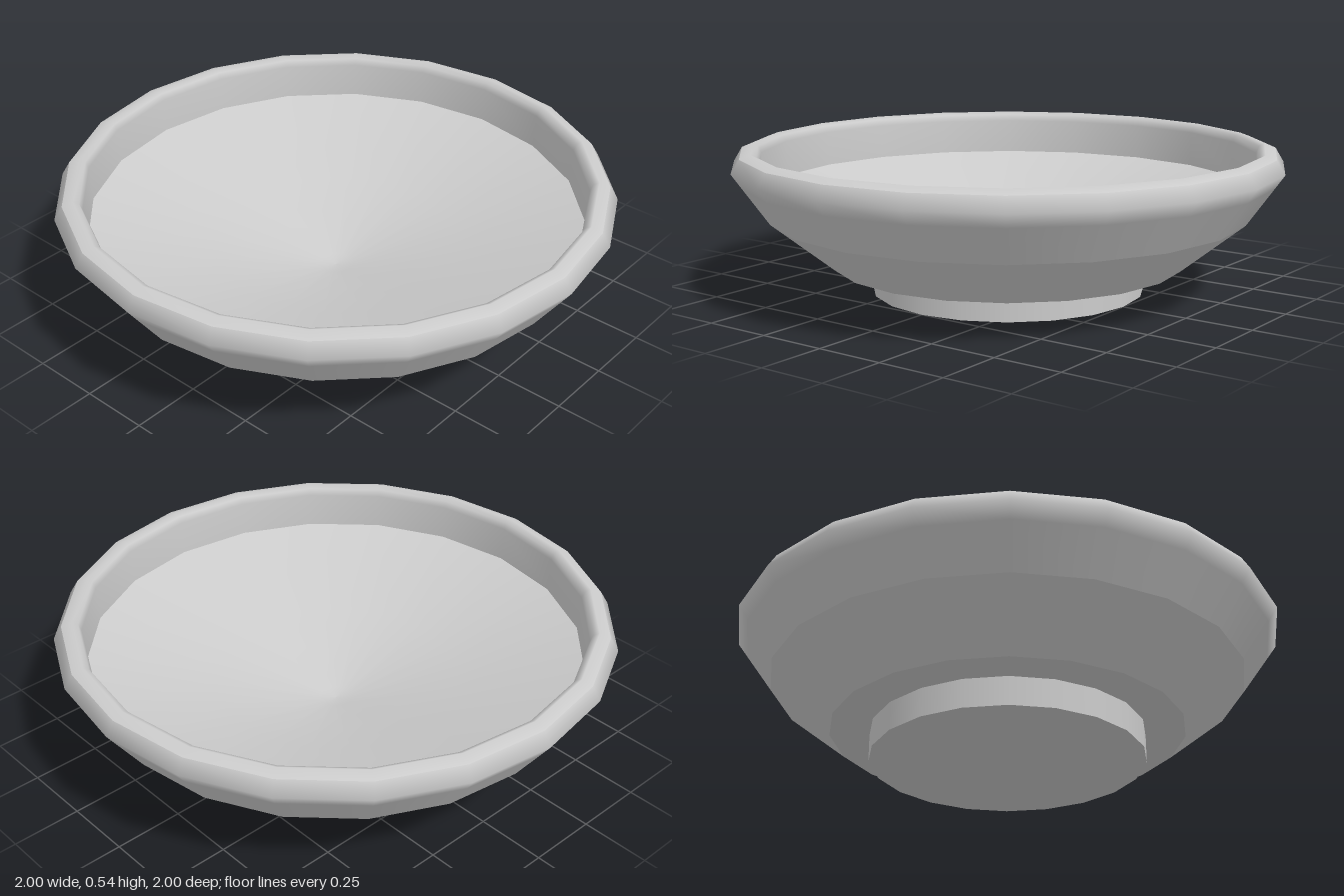
import * as THREE from 'three';

const SIDES = 20;
const material = new THREE.MeshStandardMaterial({ color: 0xcccccc });

// Smooth ring of revolution; profile points are [radius, y], running from
// the underside outward, up over the rim and back to the centre.
function turned(name, profile) {
  const points = profile.map(([r, y]) => new THREE.Vector2(r, y));
  const geometry = new THREE.LatheGeometry(points, SIDES);
  geometry.normalizeNormals();
  const mesh = new THREE.Mesh(geometry, material);
  mesh.name = name;
  return mesh;
}

export function createModel() {
  const bowl = new THREE.Group();
  bowl.name = 'bowl';
  // Each section is smooth in itself, with a sharp edge where it meets the next
  bowl.add(
    turned('footBase', [[0, 0], [0.5, 0]]),
    turned('footWall', [[0.5, 0], [0.5, 0.105]]),
    turned('underside', [[0.5, 0.105], [0.645, 0.105]]),
    turned('lowerWall', [[0.645, 0.105], [0.87, 0.285]]),
    turned('upperWall', [[0.87, 0.285], [0.965, 0.42], [1, 0.47], [0.97, 0.52]]),
    turned('rimAndInnerWall', [[0.97, 0.52], [0.93, 0.535], [0.91, 0.525], [0.9, 0.5], [0.895, 0.37]]),
    turned('dishedFloor', [[0.895, 0.37], [0.45, 0.235], [0.06, 0.135], [0, 0.13]]),
  );
  return bowl;
}
